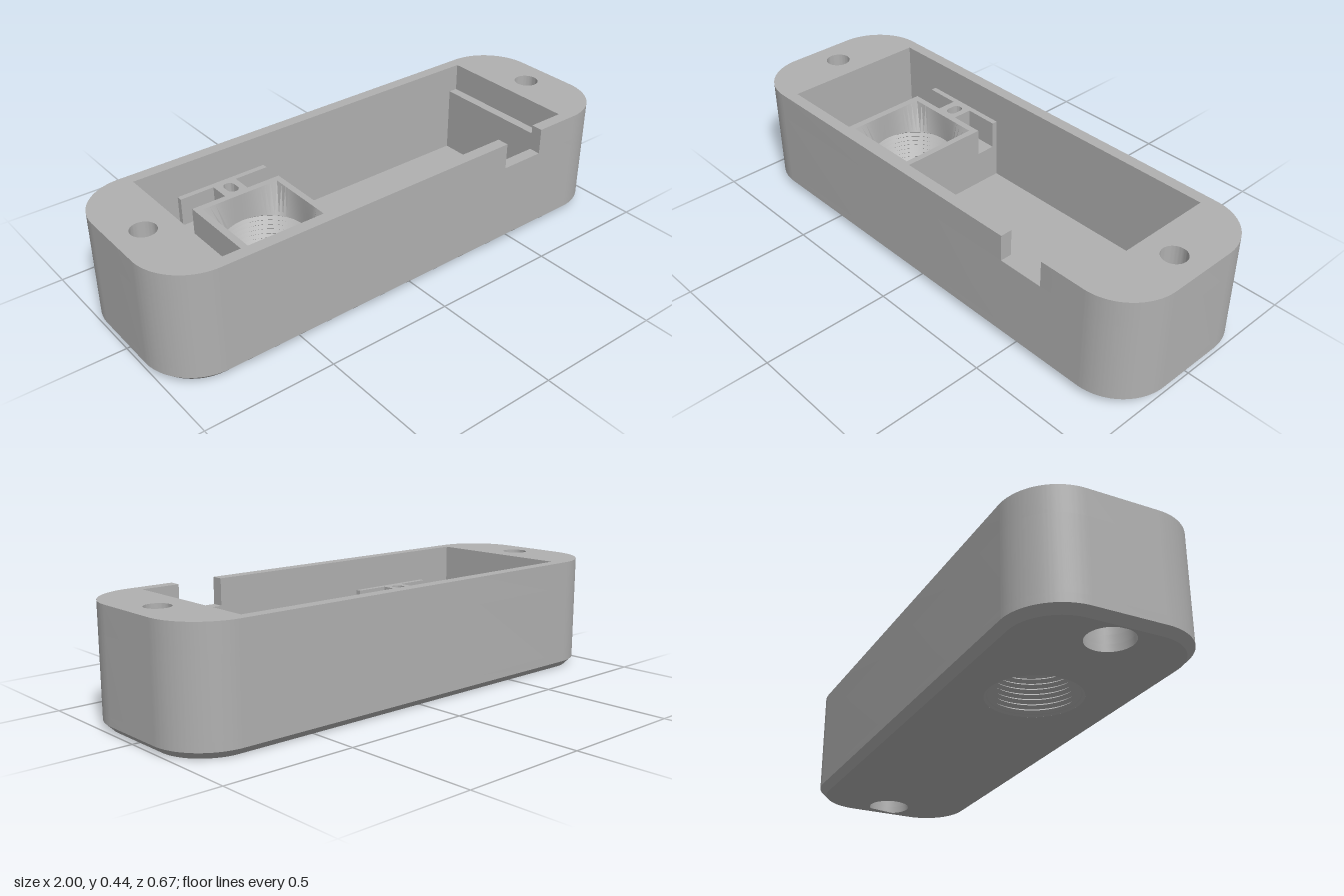
import * as THREE from 'three';
import { toCreasedNormals } from 'three/addons/utils/BufferGeometryUtils.js';

const W = 1, D = 0.333, R = 0.2;             // outer half sizes and corner radius
const CX = 0.767, CZ = 0.287;                // cavity half sizes
const H = 0.437, FLOOR = 0.06, CHAMFER = 0.027;
const NOTCH_Y = 0.335, POCKET_Y = 0.2, BLOCK_Y = 0.31;
const LX = -0.415, THREAD_R = 0.172, BORE_R = 0.158; // threaded opening

// Shapes are drawn in (x, -z) and extruded upwards from y0 to y1.
function slab(shape, y0, y1) {
  const g = new THREE.ExtrudeGeometry(shape, { depth: y1 - y0, bevelEnabled: false, curveSegments: 24 });
  g.rotateX(-Math.PI / 2);
  g.translate(0, y0, 0);
  return g;
}

function circle(x, y, r) {
  const p = new THREE.Path();
  p.absarc(x, y, r, 0, Math.PI * 2, true);
  return p;
}

function rect(x0, y0, x1, y1, Type = THREE.Path) {
  return new Type([[x0, y0], [x1, y0], [x1, y1], [x0, y1]].map(p => new THREE.Vector2(...p)));
}

function slot(x, y, r, half) {
  const p = new THREE.Path();
  p.absarc(x, y + half, r, 0, Math.PI, false);
  p.absarc(x, y - half, r, Math.PI, Math.PI * 2, false);
  p.closePath();
  return p;
}

// Rounded outline; with a notch the contour runs in and around the cavity.
function outline(notched) {
  const s = new THREE.Shape(), x = W - R, y = D - R;
  if (notched) {
    s.moveTo(0.62, -D);
  } else {
    s.moveTo(-x, -D);
  }
  s.lineTo(x, -D);
  s.absarc(x, -y, R, -Math.PI / 2, 0, false);
  s.absarc(x, y, R, 0, Math.PI / 2, false);
  s.absarc(-x, y, R, Math.PI / 2, Math.PI, false);
  s.absarc(-x, -y, R, Math.PI, Math.PI * 1.5, false);
  if (notched) {
    for (const [px, py] of [[0.44, -D], [0.44, -CZ], [-CX, -CZ], [-CX, CZ], [CX, CZ], [CX, -CZ], [0.62, -CZ]]) s.lineTo(px, py);
  }
  s.closePath();
  return s;
}

function screwHoles(shape, r) {
  for (const side of [-1, 1]) shape.holes.push(circle(side * 0.885, 0, r));
  return shape;
}

export function createModel() {
  const group = new THREE.Group();
  const material = new THREE.MeshStandardMaterial({ color: 0xb0b0b0 });
  material.name = 'grey plastic';
  const add = (name, geometry, crease = 0.5) => {
    const mesh = new THREE.Mesh(toCreasedNormals(geometry, crease), material);
    mesh.name = name;
    group.add(mesh);
  };

  // Chamfered base: outer vertices at the bottom are pulled inwards
  const baseShape = screwHoles(outline(false), 0.083);
  baseShape.holes.push(circle(LX, 0, THREAD_R));
  const base = slab(baseShape, 0, CHAMFER), pos = base.attributes.position;
  for (let i = 0; i < pos.count; i++) {
    if (pos.getY(i) > CHAMFER / 2) continue;
    const x = pos.getX(i), z = pos.getZ(i);
    const qx = THREE.MathUtils.clamp(x, R - W, W - R), qz = THREE.MathUtils.clamp(z, R - D, D - R);
    if (Math.hypot(x - qx, z - qz) < R - 0.005) continue;
    const k = (R - CHAMFER) / R;
    pos.setX(i, qx + (x - qx) * k);
    pos.setZ(i, qz + (z - qz) * k);
  }
  add('chamferedBase', base);

  // Cavity floor
  const floorShape = screwHoles(outline(false), 0.083);
  floorShape.holes.push(circle(LX, 0, THREAD_R));
  add('floor', slab(floorShape, CHAMFER, FLOOR));

  // Walls with wide counterbores, then the notched rim with narrow screw holes
  const wallShape = screwHoles(outline(false), 0.083);
  wallShape.holes.push(rect(-CX, -CZ, CX, CZ));
  add('walls', slab(wallShape, FLOOR, NOTCH_Y));
  add('notchedRim', slab(screwHoles(outline(true), 0.047), NOTCH_Y, H));

  // Ledge at the end of the cavity
  const ledge = new THREE.BoxGeometry(CX - 0.73, 0.325 - FLOOR, CZ * 2);
  ledge.translate((CX + 0.73) / 2, (0.325 + FLOOR) / 2, 0);
  add('endLedge', ledge);

  // Holder block: solid lower part
  const x0 = -0.603, x1 = -0.23;
  const lower = rect(x0, -CZ, x1, CZ, THREE.Shape);
  lower.holes.push(circle(LX, 0, THREAD_R));
  for (const s of [-1, 1]) lower.holes.push(slot(LX, s * 0.225, 0.022, 0.011));
  add('holderBase', slab(lower, FLOOR, POCKET_Y));

  // Holder block: square frame, slotted bosses and outer ribs around open pockets
  const b0 = -0.465, b1 = -0.368, p0 = 0.186, p1 = 0.265;
  const half = [[x1, -p0], [x1, p0], [b1, p0], [b1, p1], [x1, p1], [x1, CZ],
    [x0, CZ], [x0, p1], [b0, p1], [b0, p0], [x0, p0], [x0, -p0],
    [b0, -p0], [b0, -p1], [x0, -p1], [x0, -CZ], [x1, -CZ], [x1, -p1], [b1, -p1], [b1, -p0]];
  const upper = new THREE.Shape(half.map(p => new THREE.Vector2(...p)));
  upper.holes.push(rect(LX - 0.16, -0.16, LX + 0.16, 0.16));
  for (const s of [-1, 1]) upper.holes.push(slot(LX, s * 0.225, 0.022, 0.011));
  add('holderFrame', slab(upper, POCKET_Y, BLOCK_Y));

  // Funnel from the square opening down to the round bore
  const verts = [], N = 64;
  const low = a => [LX + BORE_R * Math.cos(a), POCKET_Y, BORE_R * Math.sin(a)];
  const top = a => {
    const c = Math.cos(a), s = Math.sin(a), k = 0.16 / Math.max(Math.abs(c), Math.abs(s));
    return [LX + c * k, BLOCK_Y, s * k];
  };
  for (let i = 0; i < N; i++) {
    const a = i / N * Math.PI * 2, b = (i + 1) / N * Math.PI * 2;
    verts.push(...low(a), ...low(b), ...top(a), ...top(a), ...low(b), ...top(b));
  }
  const funnel = new THREE.BufferGeometry();
  funnel.setAttribute('position', new THREE.Float32BufferAttribute(verts, 3));
  add('funnel', funnel);

  // Thread ridges, profile running downwards so the surface faces the axis
  const profile = [], TURNS = 10, pitch = POCKET_Y / TURNS;
  for (let i = 0; i < TURNS; i++) {
    const y = POCKET_Y - i * pitch;
    profile.push(new THREE.Vector2(BORE_R, y), new THREE.Vector2(THREAD_R, y - pitch / 2));
  }
  profile.push(new THREE.Vector2(BORE_R, 0.008), new THREE.Vector2(THREAD_R, 0));
  const thread = new THREE.LatheGeometry(profile, 64);
  thread.translate(LX, 0, 0);
  add('threadedBore', thread);

  return group;
}
